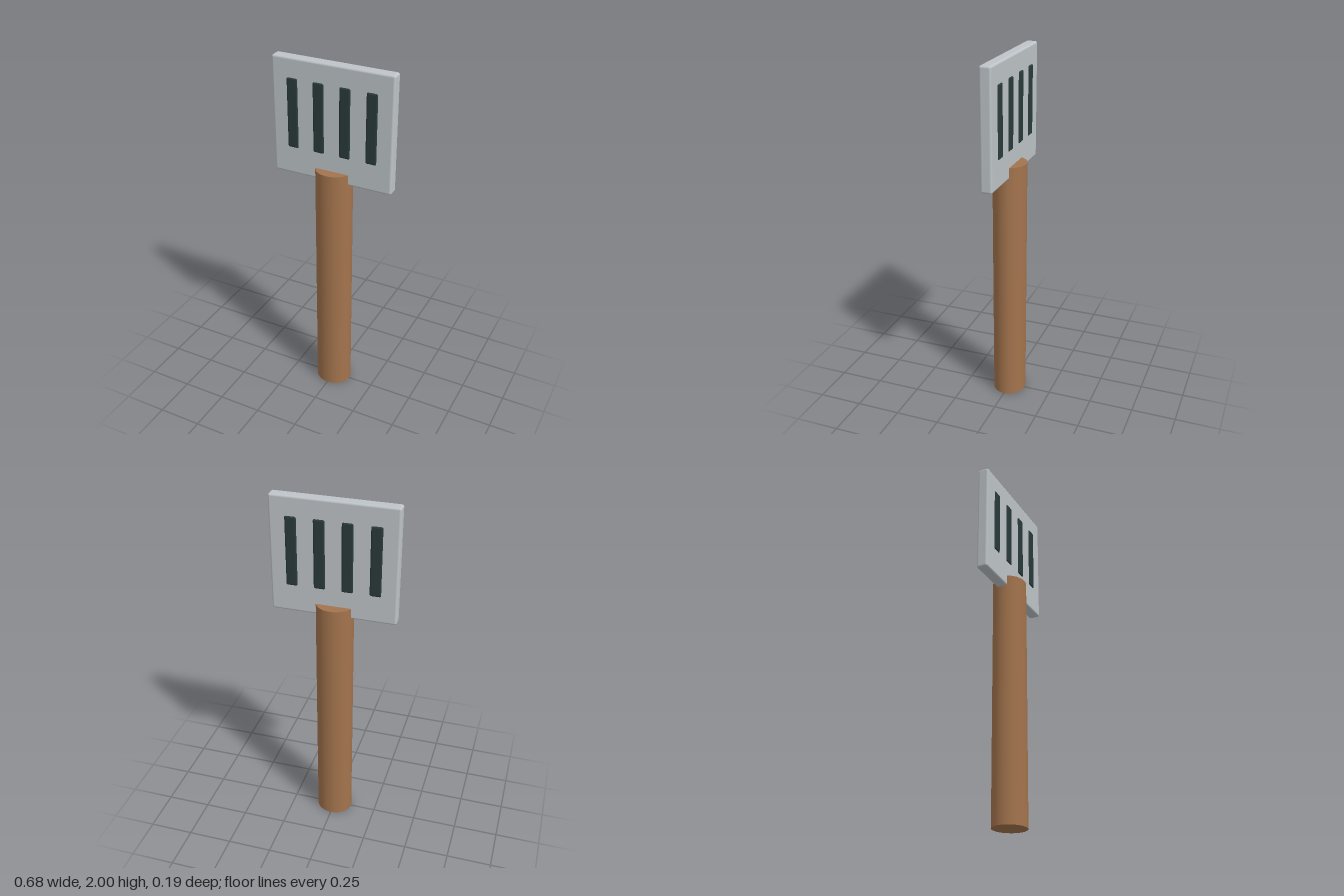
import * as THREE from 'three';
import { RoundedBoxGeometry } from 'three/addons/geometries/RoundedBoxGeometry.js';

function material(name, color) {
  const m = new THREE.MeshStandardMaterial({ color });
  m.name = name;
  return m;
}

export function createModel() {
  const group = new THREE.Group();
  group.name = 'spatula';

  const wood = material('brown wood', 0xa3744d);
  const metal = material('light grey metal', 0xbec4c8);
  const dark = material('dark slot', 0x2a3a3a);

  const add = (name, geometry, mat, x, y) => {
    const mesh = new THREE.Mesh(geometry, mat);
    mesh.name = name;
    mesh.position.set(x, y, 0);
    group.add(mesh);
    return mesh;
  };

  // Handle: a slightly oval rod
  const handleHeight = 1.414;
  const handle = new THREE.CylinderGeometry(1, 1, handleHeight, 40);
  handle.scale(0.103, 1, 0.093);
  add('handle', handle, wood, 0, handleHeight / 2);

  // Blade: a flat plate with softened edges
  add('blade', new RoundedBoxGeometry(0.684, 0.648, 0.064, 3, 0.012), metal, 0, 1.676);

  // Four dark slots, standing just proud of both faces of the blade
  const slot = new RoundedBoxGeometry(0.063, 0.388, 0.076, 3, 0.01);
  for (let i = 0; i < 4; i++) {
    add('slot' + (i + 1), slot, dark, -0.225 + i * 0.15, 1.7);
  }

  return group;
}
